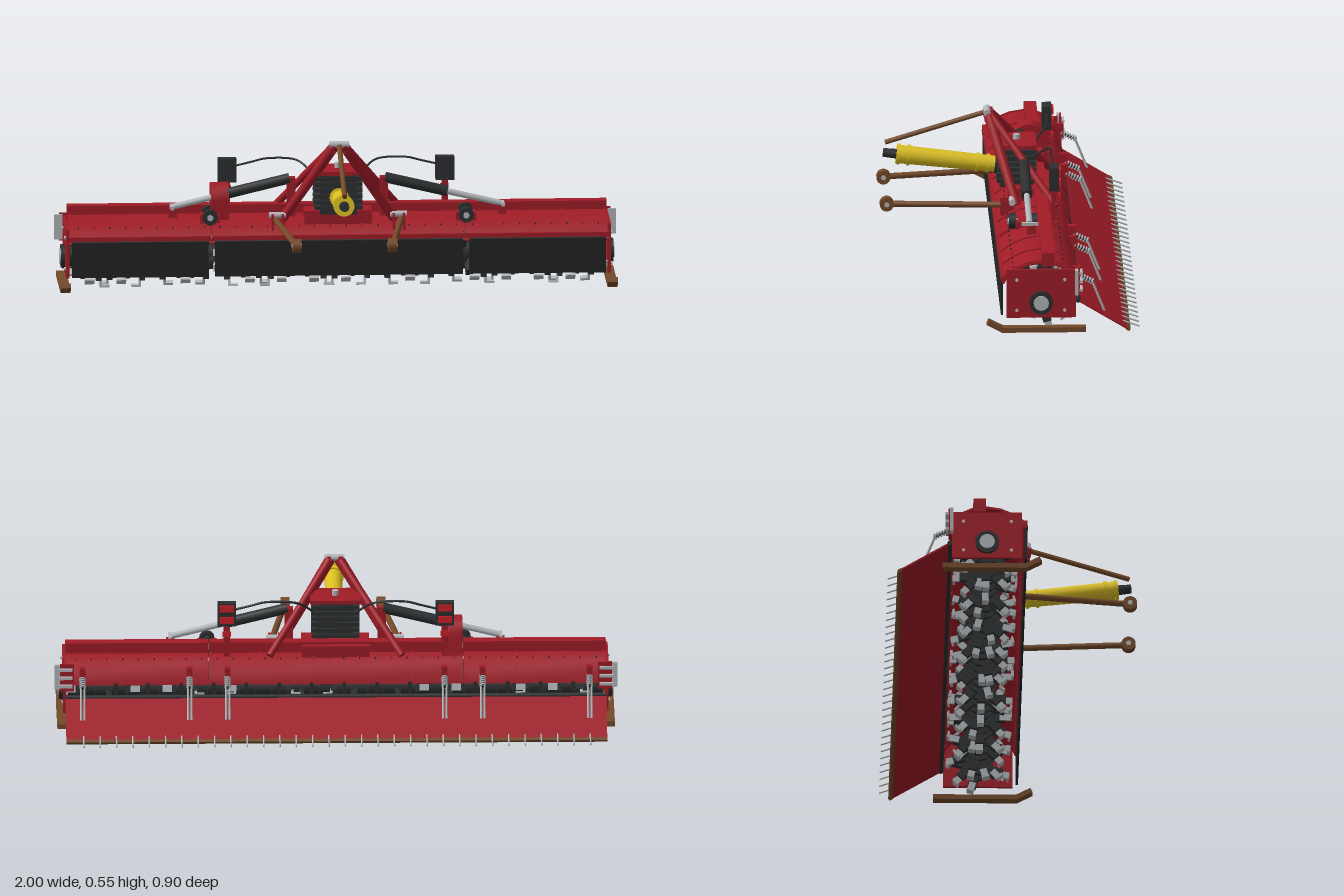
import * as THREE from 'three';
import { mergeGeometries, toCreasedNormals } from 'three/addons/utils/BufferGeometryUtils.js';

const mat = (name, color) => {
  const m = new THREE.MeshStandardMaterial({ color });
  m.name = name;
  return m;
};

export function createModel() {
  const root = new THREE.Group();
  root.name = 'rotaryTiller';
  const red = mat('red paint', 0xa01c27);
  const black = mat('black iron', 0x2c2f30);
  const rubber = mat('rubber', 0x242424);
  const yellow = mat('yellow guard', 0xdcc022);
  const brown = mat('brown steel', 0x744a2a);
  const grey = mat('bare steel', 0xb4b8ba);
  const lampRed = mat('lamp red', 0xd0202a);
  const V = (x, y, z) => new THREE.Vector3(x, y, z);

  const add = (name, geo, m, pos = [0, 0, 0], rot = [0, 0, 0]) => {
    const mesh = new THREE.Mesh(geo, m);
    mesh.name = name;
    mesh.position.set(...pos);
    mesh.rotation.set(...rot);
    root.add(mesh);
    return mesh;
  };
  const box = (name, m, size, pos, rot) => add(name, new THREE.BoxGeometry(...size), m, pos, rot);
  // cylinder lying along x
  const axle = (name, m, r, len, pos, seg = 16) =>
    add(name, new THREE.CylinderGeometry(r, r, len, seg), m, pos, [0, 0, Math.PI / 2]);
  // round bar between two points
  const rod = (name, m, a, b, r0, r1 = r0, seg = 12) => {
    const A = V(...a), B = V(...b), d = B.clone().sub(A);
    const mesh = add(name, new THREE.CylinderGeometry(r1, r0, d.length(), seg), m);
    mesh.position.copy(A).add(B).multiplyScalar(0.5);
    mesh.quaternion.setFromUnitVectors(V(0, 1, 0), d.normalize());
    return mesh;
  };
  // flat plate or bar between two [z, y] points, running along x
  const slab = (name, m, x, width, [z0, y0], [z1, y1], t) =>
    box(name, m, [width, t, Math.hypot(z1 - z0, y1 - y0)], [x, (y0 + y1) / 2, (z0 + z1) / 2],
      [-Math.atan2(y1 - y0, z1 - z0), 0, 0]);
  // [z, y] outline extruded along x
  const profile = (name, m, pts, x, width) => {
    const s = new THREE.Shape(pts.map(([z, y]) => new THREE.Vector2(-z, y)));
    const g = new THREE.ExtrudeGeometry(s, { depth: width, bevelEnabled: false });
    g.translate(0, 0, -width / 2).rotateY(Math.PI / 2);
    return add(name, toCreasedNormals(g, 0.6), m, [x, 0, 0]);
  };

  // hood shells with raised ribs
  const AX = { y: 0.117, z: -0.098 };
  const arc = [[0.042, 0.185], [0.03, 0.212], [-0.005, 0.237], [-0.05, 0.256], [-0.1, 0.264],
    [-0.15, 0.256], [-0.19, 0.237], [-0.217, 0.205], [-0.228, 0.165]];
  const scaled = k => arc.map(([z, y]) => [AX.z + (z - AX.z) * k, AX.y + (y - AX.y) * k]);
  const shell = (k0, k1) => [...scaled(k1), ...scaled(k0).reverse()];
  [[-0.706, 0.506], [0, 0.902], [0.706, 0.506]].forEach(([x, w]) => {
    profile('hood', red, shell(0.95, 1), x, w);
    box('frontRubberFlap', rubber, [w - 0.02, 0.13, 0.008], [x, 0.13, 0.042]);
    box('flapHinge', red, [w, 0.016, 0.014], [x, 0.203, 0.04]);
    axle('flapHingeRod', black, 0.005, w - 0.02, [x, 0.192, 0.044], 8);
    box('topBeam', red, [w, 0.05, 0.045], [x, 0.27, -0.122]);
  });
  for (const x of [0.08, 0.27, 0.445, 0.463, 0.64, 0.8, 0.95])
    for (const s of [-1, 1]) profile('hoodRib', red, shell(0.97, 1.03), s * x, 0.005);
  const bolts = [];
  for (let i = 0; i < 34; i++) for (const [y, z] of [[0.236, 0.002], [0.246, -0.177]])
    bolts.push(new THREE.CylinderGeometry(0.0025, 0.0025, 0.006, 6).translate(-0.924 + i * 0.056, y, z));
  add('hoodBolts', mergeGeometries(bolts), black);

  // end plates, bearings, skids and rear end brackets
  for (const s of [-1, 1]) {
    box('endPlate', red, [0.012, 0.177, 0.247], [s * 0.962, 0.1485, -0.0965]);
    axle('bearingHousing', black, 0.042, 0.02, [s * 0.972, AX.y, -0.096], 28);
    axle('bearingCap', grey, 0.027, 0.026, [s * 0.973, AX.y, -0.096], 24);
    for (const y of [0.088, 0.2]) for (const z of [-0.01, -0.18])
      axle('plateBolt', grey, 0.006, 0.02, [s * 0.964, y, z], 8);
    box('skid', brown, [0.035, 0.018, 0.3], [s * 0.972, 0.02, -0.105]);
    slab('skidTip', brown, s * 0.972, 0.035, [0.04, 0.02], [0.094, 0.048], 0.018);
    box('rearBracket', red, [0.05, 0.1, 0.006], [s * 0.955, 0.195, -0.23]);
    box('rearBracketPlate', grey, [0.03, 0.09, 0.012], [s * 0.984, 0.195, -0.222]);
    for (const y of [0.165, 0.195, 0.225])
      box('bracketClamp', grey, [0.05, 0.01, 0.012], [s * 0.96, y, -0.238]);
  }

  // rotor with staggered L-shaped blades on black holders
  axle('rotorShaft', black, 0.038, 1.9, [0, AX.y, AX.z], 20);
  const holders = [], blades = [];
  for (let i = 0; i < 33; i++) {
    const x = -0.912 + i * 0.057;
    holders.push(new THREE.CylinderGeometry(0.056, 0.056, 0.008, 12).rotateZ(Math.PI / 2).translate(x, 0, 0));
    for (let j = 0; j < 4; j++) {
      const a = j * Math.PI / 2 + (i * 5 % 7 < 3 ? Math.PI / 4 : (i % 3 - 1) * 0.25);
      const side = (i + j) % 2 ? 1 : -1;
      holders.push(new THREE.BoxGeometry(0.02, 0.05, 0.03).translate(x + side * 0.008, 0.066, 0).rotateX(a));
      blades.push(new THREE.BoxGeometry(0.008, 0.042, 0.024).translate(x + side * 0.016, 0.092, 0).rotateX(a));
      blades.push(new THREE.BoxGeometry(0.034, 0.008, 0.024).translate(x + side * 0.029, 0.111, 0).rotateX(a));
    }
  }
  add('bladeHolders', mergeGeometries(holders), black, [0, AX.y, AX.z]);
  add('blades', mergeGeometries(blades), grey, [0, AX.y, AX.z]);

  // rear levelling board with tines and spring rods
  axle('boardHinge', black, 0.009, 1.92, [0, 0.12, -0.228]);
  slab('levellingBoard', red, 0, 1.92, [-0.228, 0.12], [-0.405, 0.0125], 0.006);
  slab('boardEdge', brown, 0, 1.92, [-0.4, 0.0155], [-0.412, 0.0083], 0.01);
  for (let i = 0; i < 32; i++) {
    const x = -0.9 + i * 0.058;
    rod('tine', grey, [x, 0.026, -0.388], [x, 0.005, -0.448], 0.003, 0.003, 6);
    if (i % 2) box('hingeLug', black, [0.012, 0.055, 0.008], [x, 0.145, -0.226]);
  }
  for (const s of [-1, 1]) for (const x of [0.385, 0.52, 0.9]) {
    box('springMount', red, [0.02, 0.05, 0.03], [s * x, 0.205, -0.225]);
    rod('springGuide', black, [s * x, 0.2, -0.22], [s * x, 0.17, -0.285], 0.005);
    for (let k = 0; k < 6; k++)
      add('springCoil', new THREE.TorusGeometry(0.009, 0.003, 6, 12), grey,
        [s * x, 0.196 - k * 0.0045, -0.232 - k * 0.0095], [-0.43, 0, 0]);
    for (const d of [-0.006, 0.006])
      rod('springRod', grey, [s * x + d, 0.178, -0.278], [s * x + d, 0.065, -0.323], 0.004);
  }

  // gearbox with cooling fins
  box('gearboxBase', red, [0.24, 0.05, 0.16], [0, 0.262, -0.09]);
  box('gearbox', black, [0.13, 0.15, 0.12], [0, 0.355, -0.04]);
  for (let k = 0; k < 6; k++) box('gearboxFin', black, [0.17, 0.013, 0.14], [0, 0.306 + k * 0.021, -0.04]);
  box('gearboxLid', red, [0.18, 0.014, 0.15], [0, 0.431, -0.036]);
  add('fillerCap', new THREE.CylinderGeometry(0.012, 0.012, 0.02, 12), grey, [0, 0.446, -0.042]);

  // drive shaft guard, running forward along its own axis
  const shaft = t => [0, 0.345 + 0.042 * t, 0.025 + 0.36 * t];
  rod('shaftGuard', yellow, shaft(0), shaft(1), 0.029, 0.033, 24);
  for (const t of [0.1, 0.2, 0.88, 0.98])
    rod('guardRing', yellow, shaft(t - 0.014), shaft(t + 0.014), t < 0.5 ? 0.034 : 0.037, undefined, 24);
  rod('shaftYoke', black, shaft(0.98), shaft(1.13), 0.018, 0.016);
  rod('shaftInput', black, shaft(-0.15), shaft(0.03), 0.033);

  // headstock, top link and lower links
  axle('mastPin', grey, 0.013, 0.07, [0, 0.543, 0.063]);
  rod('topLink', brown, [0, 0.541, 0.063], [0, 0.43, 0.425], 0.009);
  for (const s of [-1, 1]) {
    box('mastEar', red, [0.012, 0.04, 0.03], [s * 0.02, 0.53, 0.058]);
    rod('mastLeg', red, [s * 0.015, 0.54, 0.06], [s * 0.2, 0.25, -0.035], 0.019, 0.016);
    rod('mastBrace', red, [s * 0.018, 0.54, 0.055], [s * 0.235, 0.255, -0.175], 0.013);
    for (const d of [-0.018, 0.018])
      box('linkBracket', red, [0.008, 0.055, 0.05], [s * 0.215 + d, 0.25, -0.002]);
    axle('linkPin', grey, 0.011, 0.06, [s * 0.215, 0.272, -0.018]);
    rod('lowerLink', brown, [s * 0.222, 0.26, 0.018], [s * 0.172, 0.253, 0.42], 0.011);
    axle('linkEye', brown, 0.025, 0.032, [s * 0.17, 0.253, 0.425], 20);
    axle('linkBall', grey, 0.009, 0.036, [s * 0.17, 0.253, 0.425], 12);

    // folding cylinders
    rod('cylinderBody', black, [s * 0.17, 0.396, -0.063], [s * 0.39, 0.343, -0.065], 0.019, 0.019, 16);
    rod('cylinderRod', grey, [s * 0.38, 0.345, -0.065], [s * 0.585, 0.296, -0.068], 0.011);
    box('cylinderAnchor', red, [0.03, 0.14, 0.03], [s * 0.165, 0.33, -0.064]);
    box('rodAnchor', red, [0.03, 0.04, 0.03], [s * 0.585, 0.27, -0.075]);
    box('rodPin', grey, [0.012, 0.012, 0.06], [s * 0.588, 0.295, -0.07]);

    // section joints
    for (const z of [-0.012, -0.09]) {
      const joint = [s * 0.455, 0.268, z];
      add('foldJoint', new THREE.CylinderGeometry(0.027, 0.027, 0.026, 20), black, joint, [Math.PI / 2, 0, 0]);
      add('foldPin', new THREE.CylinderGeometry(0.011, 0.011, 0.034, 14), grey, joint, [Math.PI / 2, 0, 0]);
    }
    box('foldPlate', red, [0.07, 0.03, 0.06], [s * 0.455, 0.258, -0.052]);

    // lamp boards and hoses
    box('lampBoard', black, [0.066, 0.085, 0.034], [s * 0.387, 0.408, -0.162]);
    box('lampPost', red, [0.022, 0.13, 0.014], [s * 0.387, 0.315, -0.16]);
    for (const y of [0.432, 0.39]) box('lamp', lampRed, [0.05, 0.024, 0.008], [s * 0.387, y, -0.182]);
    box('reflector', lampRed, [0.03, 0.018, 0.006], [s * 0.387, 0.338, -0.182]);
    const hose = new THREE.CatmullRomCurve3([V(s * 0.08, 0.395, -0.1), V(s * 0.11, 0.425, -0.13),
      V(s * 0.145, 0.445, -0.152), V(s * 0.25, 0.449, -0.157), V(s * 0.3, 0.437, -0.158), V(s * 0.37, 0.42, -0.16)]);
    add('hose', new THREE.TubeGeometry(hose, 24, 0.004, 6), black);
  }

  // rounded chain cover on one side
  const cover = [[-0.04, 0.25], [-0.04, 0.32]];
  for (let k = 0; k <= 8; k++) {
    const a = k * Math.PI / 8;
    cover.push([-0.1 + 0.06 * Math.cos(a), 0.325 + 0.052 * Math.sin(a)]);
  }
  cover.push([-0.17, 0.25]);
  profile('chainCover', red, cover, -0.418, 0.064);

  return root;
}
